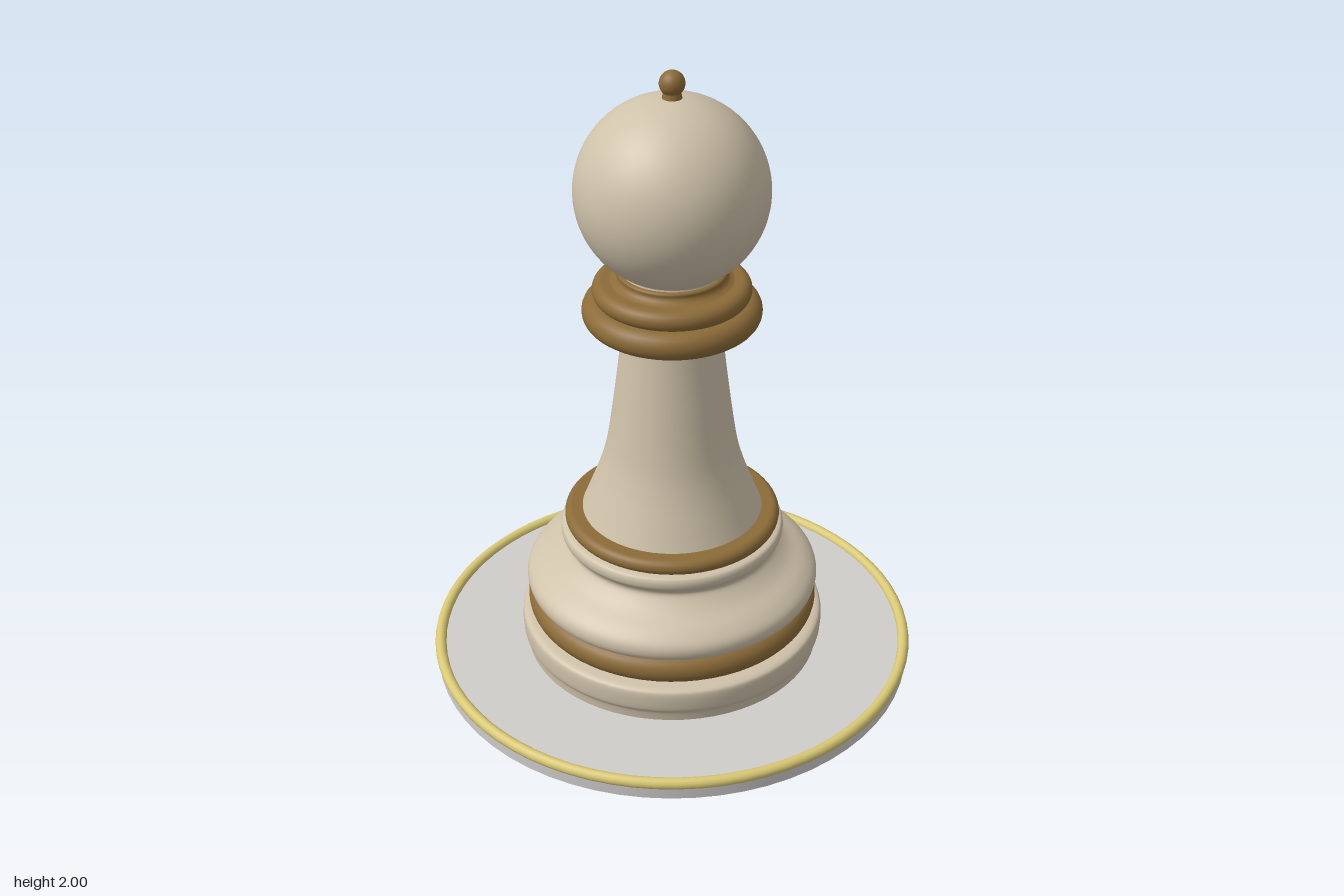
import * as THREE from 'three';

const mat = (name, color) => new THREE.MeshStandardMaterial({ name, color });

export function createModel() {
  const ivory = mat('ivory', 0xcfc2aa);
  const bronze = mat('bronze', 0x8c6b38);
  const gold = mat('gold', 0xd9c874);
  const stone = mat('pale stone', 0xcfcdca);

  const model = new THREE.Group();
  model.name = 'chessPawn';

  const add = (name, geometry, material, y = 0) => {
    const mesh = new THREE.Mesh(geometry, material);
    mesh.name = name;
    mesh.position.y = y;
    model.add(mesh);
  };

  // Turned part: smooth curve through [radius, height] points, bottom to top
  const turned = (name, points, material, steps = 32) => {
    const curve = new THREE.SplineCurve(points.map(([r, y]) => new THREE.Vector2(r, y)));
    add(name, new THREE.LatheGeometry(curve.getPoints(steps), 64), material);
  };

  // Ring with a rounded rim, closed towards the axis
  const ring = (name, radius, y0, y1, inner, material) => {
    const h = (y1 - y0) / 2, points = [new THREE.Vector2(inner, y0)];
    for (let i = 0; i <= 12; i++) {
      const a = -Math.PI / 2 + (Math.PI * i) / 12;
      points.push(new THREE.Vector2(radius - h + h * Math.cos(a), y0 + h + h * Math.sin(a)));
    }
    points.push(new THREE.Vector2(inner, y1));
    add(name, new THREE.LatheGeometry(points, 64), material);
  };

  // Stand: flat disc with a gold rim
  add('standDisc', new THREE.CylinderGeometry(0.77, 0.77, 0.05, 64), stone, 0.025);
  const rim = new THREE.TorusGeometry(0.76, 0.018, 12, 72);
  rim.rotateX(Math.PI / 2);
  add('standRim', rim, gold, 0.05);

  // Base
  turned('foot', [[0.472, 0.045], [0.476, 0.08], [0.485, 0.1], [0.486, 0.15], [0.475, 0.167], [0.44, 0.172], [0.38, 0.174]], ivory);
  ring('lowerBand', 0.465, 0.17, 0.264, 0.36, bronze);
  turned('baseMoulding', [
    [0.38, 0.258], [0.44, 0.262], [0.464, 0.285], [0.462, 0.32], [0.43, 0.352], [0.375, 0.385],
    [0.338, 0.42], [0.337, 0.44], [0.352, 0.46], [0.352, 0.485], [0.335, 0.497], [0.27, 0.5]], ivory, 60);
  ring('upperBand', 0.34, 0.495, 0.545, 0.2, bronze);

  // Flared stem
  turned('stem', [[0.29, 0.53], [0.262, 0.6], [0.225, 0.7], [0.2, 0.8], [0.172, 1.0], [0.155, 1.15], [0.15, 1.24]], ivory);

  // Collar rings
  ring('lowerCollar', 0.272, 1.2, 1.288, 0.1, bronze);
  ring('upperCollar', 0.24, 1.282, 1.345, 0.1, bronze);
  turned('collarLip', [[0.2, 1.34], [0.175, 1.35], [0.165, 1.362], [0.16, 1.378], [0.1, 1.38]], bronze, 16);

  // Head and finial
  turned('neck', [[0.158, 1.37], [0.154, 1.385], [0.165, 1.4]], ivory, 8);
  add('head', new THREE.SphereGeometry(0.29, 64, 40), ivory, 1.63);
  add('finialNeck', new THREE.CylinderGeometry(0.024, 0.032, 0.04, 24), bronze, 1.925);
  add('finialBall', new THREE.SphereGeometry(0.038, 24, 16), bronze, 1.962);

  return model;
}
